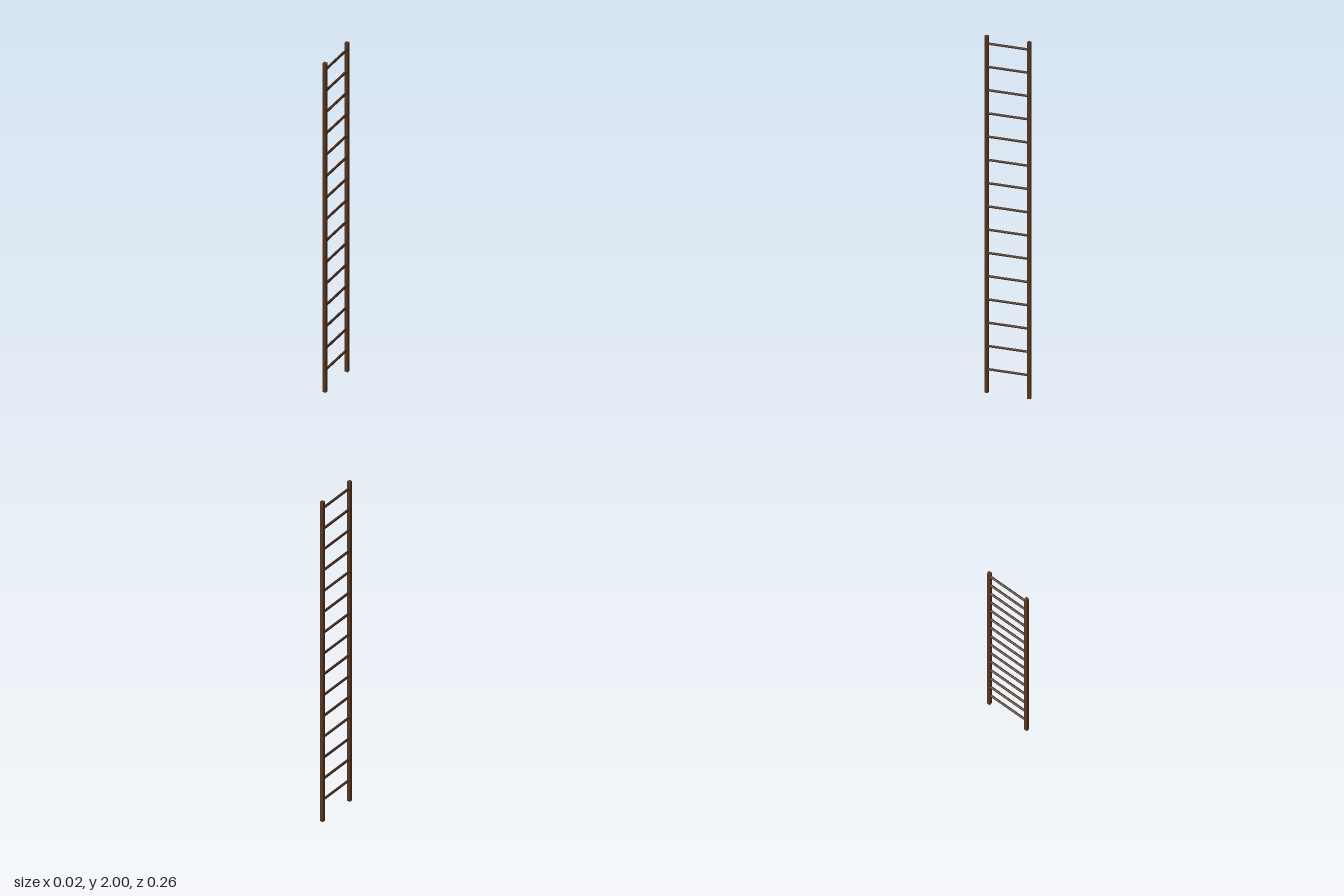
import * as THREE from 'three';

export function createModel() {
  const model = new THREE.Group();
  model.name = 'ladder';

  const railWood = new THREE.MeshStandardMaterial({ color: 0x5a3820 });
  const rungWood = new THREE.MeshStandardMaterial({ color: 0x4a3020, flatShading: true });

  const height = 2, railSize = 0.019, railZ = 0.122;

  // Two square side rails
  const railGeometry = new THREE.BoxGeometry(railSize, height, railSize);
  for (const side of [1, -1]) {
    const rail = new THREE.Mesh(railGeometry, railWood);
    rail.name = side > 0 ? 'frontRail' : 'backRail';
    rail.position.set(0, height / 2, side * railZ);
    model.add(rail);
  }

  // Evenly spaced eight-sided rungs, running into the rails
  const rungCount = 15, rungGap = 0.1304;
  const rungGeometry = new THREE.CylinderGeometry(0.007, 0.007, railZ * 2, 8);
  rungGeometry.rotateX(Math.PI / 2);
  for (let i = 1; i <= rungCount; i++) {
    const rung = new THREE.Mesh(rungGeometry, rungWood);
    rung.name = `rung${i}`;
    rung.position.y = i * rungGap;
    model.add(rung);
  }

  return model;
}
